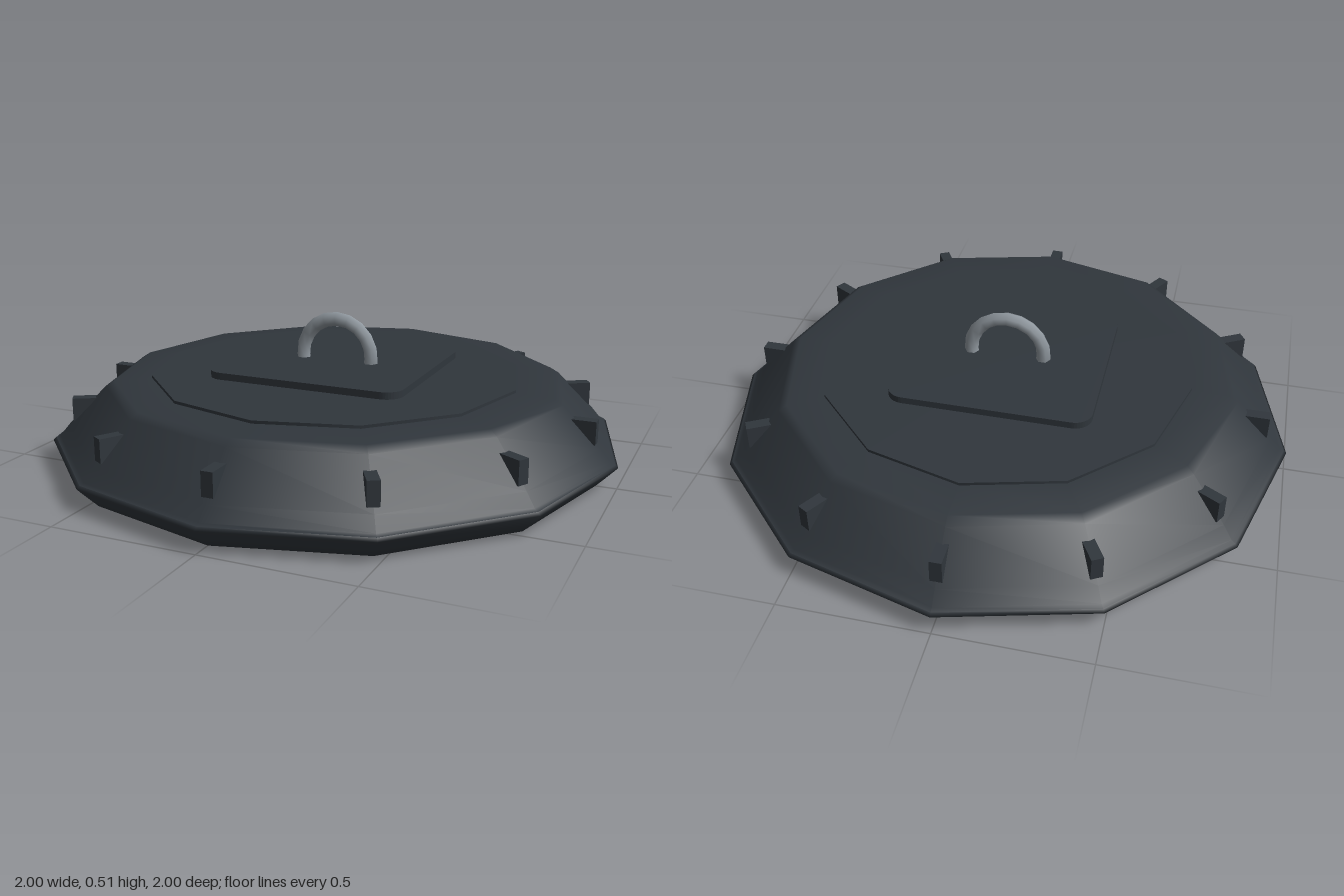
import * as THREE from 'three';

const SIDES = 12;
const paint = (color) => new THREE.MeshStandardMaterial({ color });

export function createModel() {
  const model = new THREE.Group();
  const dark = paint(0x30363c);
  const steel = paint(0x8f979e);
  const panelGrey = paint(0x585858);
  const lensGrey = paint(0x626262);
  const ledYellow = paint(0x77682c);

  const add = (name, geometry, material, parent = model) => {
    const mesh = new THREE.Mesh(geometry, material);
    mesh.name = name;
    parent.add(mesh);
    return mesh;
  };
  // twelve-sided turned part, profile given from bottom to top as [radius, y]
  const turned = (name, profile, material) =>
    add(name, new THREE.LatheGeometry(profile.map(([r, y]) => new THREE.Vector2(r, y)), SIDES), material);

  // housing: sloped rim below, chamfered dome above
  turned('lowerRim', [[0.835, 0.05], [0.84, 0.03], [0.87, 0.006], [0.93, 0], [0.955, 0.025], [1, 0.072], [0.99, 0.082]], dark);
  turned('dome', [[0.99, 0.082], [0.975, 0.088], [0.94, 0.13], [0.81, 0.262], [0.78, 0.281], [0.65, 0.287], [0, 0.287]], dark);
  const cap = add('topCap', new THREE.CylinderGeometry(0.65, 0.65, 0.014, SIDES), dark);
  cap.position.y = 0.29;

  // fins on the corners of the housing
  const fins = new THREE.Group();
  fins.name = 'fins';
  model.add(fins);
  const finShape = new THREE.BoxGeometry(0.04, 0.08, 0.125);
  for (let i = 0; i < SIDES; i++) {
    const a = (i / SIDES) * Math.PI * 2;
    const fin = add('fin', finShape, dark, fins);
    fin.position.set(Math.sin(a) * 0.862, 0.185, Math.cos(a) * 0.862);
    fin.rotation.y = a;
  }

  // rounded mounting plate
  const w = 0.35, d = 0.325, r = 0.06;
  const outline = new THREE.Shape();
  outline.absarc(w - r, d - r, r, 0, Math.PI / 2);
  outline.absarc(r - w, d - r, r, Math.PI / 2, Math.PI);
  outline.absarc(r - w, r - d, r, Math.PI, Math.PI * 1.5);
  outline.absarc(w - r, r - d, r, Math.PI * 1.5, Math.PI * 2);
  const plate = add('mountingPlate',
    new THREE.ExtrudeGeometry(outline, { depth: 0.024, bevelEnabled: false, curveSegments: 5 }), dark);
  plate.rotation.x = -Math.PI / 2;
  plate.position.y = 0.31;

  // hanging loop
  const overhang = 0.4;
  const loop = add('hangingLoop', new THREE.TorusGeometry(0.13, 0.025, 6, 12, Math.PI + overhang * 2), steel);
  loop.rotation.z = -overhang;
  loop.position.y = 0.351;

  // underside: metal trim, lamp panel and centre disc
  turned('trimRing', [[0.805, 0.05], [0.81, 0.036], [0.836, 0.03], [0.842, 0.05]], steel);
  const panel = add('lampPanel', new THREE.CylinderGeometry(0.84, 0.84, 0.02, SIDES), panelGrey);
  panel.position.y = 0.058;
  const disc = add('centreDisc', new THREE.CylinderGeometry(0.1, 0.1, 0.008, 24), paint(0x444b50));
  disc.position.y = 0.046;

  // rings of small lamps
  const lamps = new THREE.Group();
  lamps.name = 'lamps';
  model.add(lamps);
  const lensShape = new THREE.CylinderGeometry(0.03, 0.03, 0.004, 12);
  const chipShape = new THREE.BoxGeometry(0.02, 0.004, 0.02);
  for (const [radius, count] of [[0.73, 32], [0.55, 16], [0.36, 9]]) {
    for (let i = 0; i < count; i++) {
      const a = ((i + 0.5) / count) * Math.PI * 2;
      const x = Math.sin(a) * radius, z = Math.cos(a) * radius;
      add('lampLens', lensShape, lensGrey, lamps).position.set(x, 0.0465, z);
      const chip = add('lampChip', chipShape, ledYellow, lamps);
      chip.position.set(x, 0.044, z);
      chip.rotation.y = a;
    }
  }
  return model;
}
